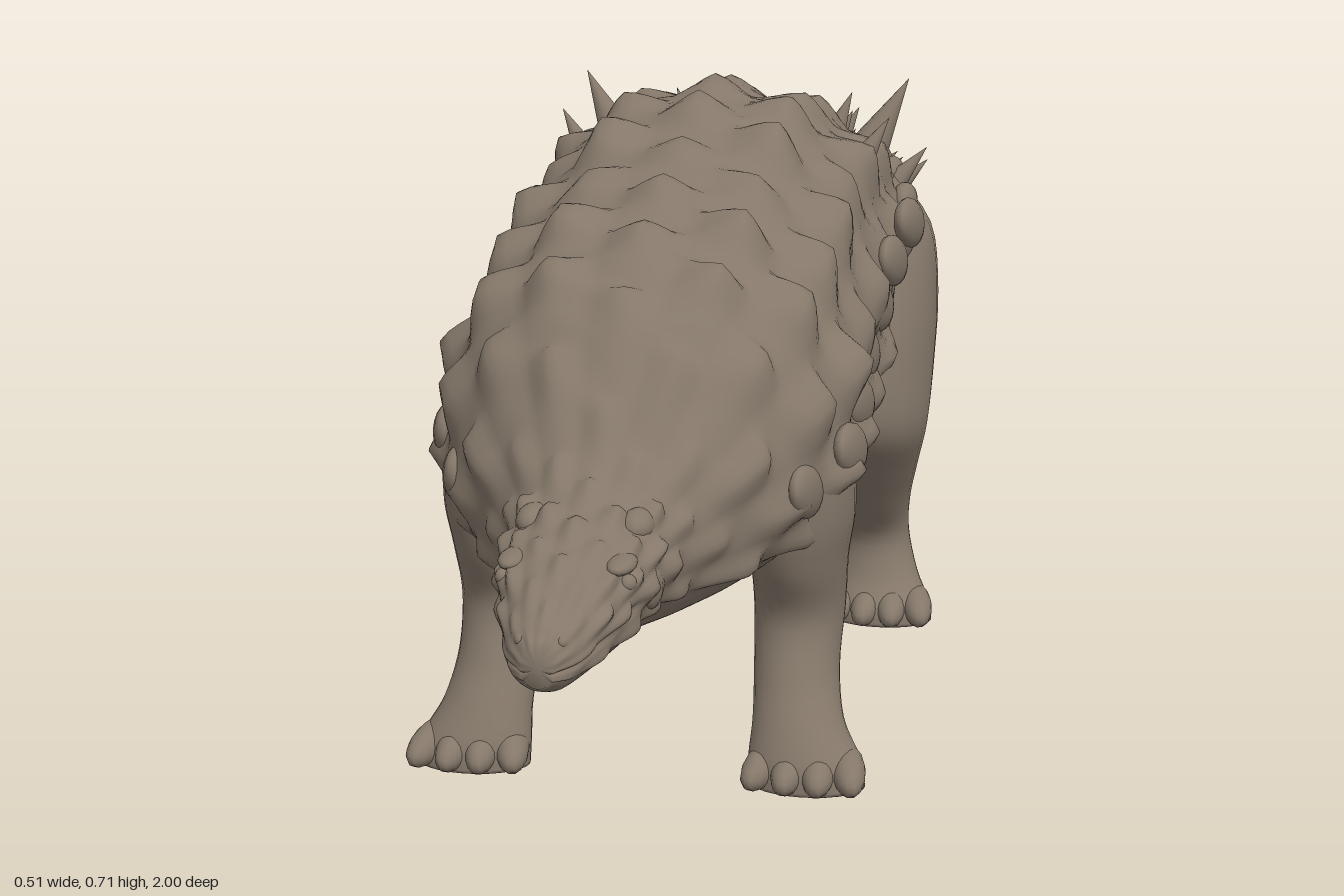
import * as THREE from 'three';

const { clamp, smoothstep, mapLinear } = THREE.MathUtils;
const hide = new THREE.MeshStandardMaterial({ color: 0x85786a });
hide.name = 'brown hide';

// Body stations: z, top, bottom, half width, height of widest point, squareness
const STATIONS = [
  [1.0, .29, .25, .016, .268, 2], [.98, .308, .24, .034, .275, 2.2],
  [.93, .333, .237, .052, .29, 2.2], [.87, .355, .235, .07, .31, 2.2],
  [.8, .375, .23, .08, .32, 2.1], [.75, .405, .222, .094, .32, 2.1],
  [.7, .46, .216, .13, .33, 2.1], [.64, .527, .213, .172, .345, 2.1],
  [.56, .573, .212, .205, .36, 2.15], [.46, .605, .22, .215, .375, 2.2],
  [.34, .642, .233, .214, .4, 2.2], [.2, .68, .255, .212, .425, 2.2],
  [.08, .675, .275, .216, .445, 2.2], [-.02, .652, .3, .218, .455, 2.2],
  [-.11, .625, .345, .2, .475, 2.2], [-.2, .598, .385, .147, .48, 2.2],
  [-.32, .572, .413, .11, .485, 2.1], [-.48, .543, .423, .082, .48, 2],
  [-.64, .52, .415, .06, .465, 2], [-.78, .474, .404, .041, .437, 2],
  [-.9, .445, .397, .029, .42, 2], [-1, .447, .42, .01, .434, 2],
];

// Smooth (Hermite) interpolation of rows by position t along the list
function sample(rows, t) {
  const last = rows.length - 1;
  const i = Math.min(Math.floor(t), last - 1), f = t - i;
  const at = k => rows[clamp(k, 0, last)];
  return rows[0].map((_, c) => {
    const p = at(i)[c], q = at(i + 1)[c];
    const m = (q - at(i - 1)[c]) / 2, n = (at(i + 2)[c] - p) / 2;
    const f2 = f * f, f3 = f2 * f;
    return (2 * f3 - 3 * f2 + 1) * p + (f3 - 2 * f2 + f) * m + (3 * f2 - 2 * f3) * q + (f3 - f2) * n;
  });
}

function stationAt(z) {
  let i = 0;
  while (i < STATIONS.length - 2 && STATIONS[i + 1][0] > z) i++;
  const a = STATIONS[i], b = STATIONS[i + 1];
  return sample(STATIONS, i + clamp((a[0] - z) / (a[0] - b[0]), 0, 1));
}

const hash = (a, b) => { const s = Math.sin(a * 12.99 + b * 78.23) * 43758.5; return s - Math.floor(s); };

// Height of the overlapping keeled scutes at angle a from the spine
function armour(z, a, w) {
  const limit = clamp(mapLinear(z, .5, -.1, 2.1, 1.1), 1.1, 2.1);
  const cover = 1 - smoothstep(Math.abs(a), limit - .05, limit + .08);
  const phase = z > .72 ? 7.2 + (z - .72) / .06 : z > -.2 ? z / .1 : -2 + (z + .2) / .075;
  const row = Math.abs(a) / .42, r = Math.round(row), u = (row - r) * 2;
  const shifted = -phase + (r % 2) * .5, cell = Math.floor(shifted), v = shifted - cell;
  const rise = smoothstep(v, 0, .7) * (1 - smoothstep(v, .78, 1));
  const keel = .5 * (1 - u * u) + .5 * Math.max(0, 1 - Math.abs(u) * 1.5);
  const size = clamp(w * .12, .002, .026) * (.55 + .7 * hash(r + 1, cell));
  const ripple = w * .012 * Math.sin(z * 95 + Math.abs(a) * 3) * Math.sin(Math.abs(a) * 9 + z * 40);
  const mouth = .005 * smoothstep(z, .84, .88) * Math.exp(-(((Math.abs(a) - 1.75) / .07) ** 2));
  const folds = z < -.15 ? .001 * Math.sin(z * 150) : 0;
  return cover * (size * keel * rise + ripple + w * .025) + (1 - cover) * folds - mouth;
}

function surface(z, a) {
  const [, top, bottom, w, mid, n] = stationAt(z);
  const s = Math.sin(a), c = Math.cos(a);
  const r = (Math.abs(s) ** n + Math.abs(c) ** n) ** (-1 / n);
  const signed = a > Math.PI ? a - 2 * Math.PI : a;
  const d = armour(z, signed, w);
  return new THREE.Vector3((w * r + d) * s, mid + ((c > 0 ? top - mid : mid - bottom) * r + d) * c, z);
}

// Skin a list of closed rings and close both ends
function loft(rings) {
  const n = rings[0].length, pos = [], index = [];
  rings.forEach(ring => ring.forEach(p => pos.push(p.x, p.y, p.z)));
  for (let i = 0; i < rings.length - 1; i++) for (let j = 0; j < n; j++) {
    const a = i * n + j, b = i * n + (j + 1) % n;
    index.push(a, b, a + n, b, b + n, a + n);
  }
  [0, rings.length - 1].forEach(k => {
    const centre = new THREE.Vector3();
    rings[k].forEach(p => centre.addScaledVector(p, 1 / n));
    const id = pos.length / 3;
    pos.push(centre.x, centre.y, centre.z);
    for (let j = 0; j < n; j++) {
      const a = k * n + j, b = k * n + (j + 1) % n;
      if (k === 0) index.push(id, b, a); else index.push(id, a, b);
    }
  });
  const g = new THREE.BufferGeometry();
  g.setAttribute('position', new THREE.Float32BufferAttribute(pos, 3));
  g.setIndex(index);
  g.computeVertexNormals();
  return g;
}

function add(parent, name, geometry) {
  const mesh = new THREE.Mesh(geometry, hide);
  mesh.name = name;
  parent.add(mesh);
  return mesh;
}

function blob(parent, name, x, y, z, rx, ry, rz) {
  const m = add(parent, name, new THREE.SphereGeometry(1, 14, 10));
  m.position.set(x, y, z);
  m.scale.set(rx, ry, rz);
  return m;
}

// Leg rings: x, y, z, half width, half depth
const FRONT_LEG = [[.14, .44, .51, .04, .06], [.16, .37, .51, .06, .092], [.168, .3, .505, .06, .092],
  [.167, .24, .5, .053, .08], [.166, .18, .49, .05, .062], [.167, .12, .515, .047, .053],
  [.174, .07, .548, .05, .043], [.184, .03, .565, .062, .043], [.187, .002, .568, .064, .043]];
const HIND_LEG = [[.125, .57, -.02, .07, .08], [.15, .51, -.01, .092, .125], [.161, .43, .012, .094, .138],
  [.166, .35, .04, .089, .125], [.17, .28, .06, .081, .098], [.17, .22, .025, .066, .08],
  [.168, .16, -.02, .053, .07], [.17, .11, -.042, .047, .046], [.178, .06, -.03, .052, .038],
  [.186, .025, -.012, .062, .042], [.187, .002, -.01, .064, .043]];

function leg(parent, name, rows, side) {
  const group = new THREE.Group();
  group.name = name;
  const rings = [];
  for (let i = 0; i <= 40; i++) {
    const [x, y, z, rx, rz] = sample(rows, i / 40 * (rows.length - 1));
    rings.push(Array.from({ length: 28 }, (_, j) => {
      const a = j / 28 * Math.PI * 2;
      return new THREE.Vector3(side * x - Math.sin(a) * rx, y, z + Math.cos(a) * rz);
    }));
  }
  add(group, 'limb', loft(rings));
  const [fx, , fz] = rows[rows.length - 1];
  for (let k = 0; k < 4; k++) {
    const spread = k - 1.5, z = fz + .02 - Math.abs(spread) * .007;
    const toe = blob(group, 'toe', side * (fx + spread * .031), .024, z, .019, .02, .046);
    toe.rotation.set(.22, side * spread * .15, 0);
  }
  parent.add(group);
}

// Spikes: z, angle from the spine, length
const SPIKES = [[.08, .85, .05], [-.06, .78, .08], [-.19, .62, .06], [-.03, 1.05, .055], [-.1, 1.15, .05],
  [-.17, 1.15, .045], [-.24, 1.2, .055], [-.25, .7, .042], [-.32, .75, .05], [-.35, 1.25, .042],
  [-.38, .72, .035], [-.45, .72, .04], [-.46, 1.25, .03], [-.515, .7, .033], [-.56, 1.2, .026],
  [-.58, .7, .03], [-.65, .8, .022], [-.66, 1.3, .018]];

function spike(parent, [z, a, length], side) {
  const g = new THREE.ConeGeometry(length * .3, length * 1.2, 12, 6);
  g.translate(0, length * .5, 0);
  const m = add(parent, 'spike', g);
  const p = surface(z, a);
  m.position.set(p.x * side * .98, p.y, z);
  const dir = new THREE.Vector3(side * Math.sin(a) * .7, Math.cos(a) + .2, -.22).normalize();
  m.quaternion.setFromUnitVectors(new THREE.Vector3(0, 1, 0), dir);
}

export function createModel() {
  const model = new THREE.Group();
  model.name = 'armouredDinosaur';

  // Head, trunk and tail as one armoured skin
  const rings = [], count = 270, sides = 120;
  for (let i = 0; i <= count; i++) {
    const z = 1 - 2 * i / count;
    rings.push(Array.from({ length: sides }, (_, j) => surface(z, j / sides * Math.PI * 2)));
  }
  add(model, 'body', loft(rings));

  for (const side of [-1, 1]) {
    const s = side < 0 ? 'right' : 'left';
    leg(model, s + 'FrontLeg', FRONT_LEG, side);
    leg(model, s + 'HindLeg', HIND_LEG, side);
    SPIKES.forEach(row => spike(model, row, side));

    // Face details
    blob(model, s + 'Eye', side * .062, .322, .885, .009, .009, .011);
    blob(model, s + 'Brow', side * .054, .338, .875, .015, .009, .03);
    blob(model, s + 'CheekBoss', side * .071, .3, .82, .012, .024, .03);
    blob(model, s + 'CrownBoss', side * .053, .355, .8, .018, .017, .028);
    blob(model, s + 'Nostril', side * .02, .292, .977, .008, .008, .012);

    // Heavy scutes along the edge of the armour
    for (let k = 0; k < 7; k++) {
      const z = .6 - k * .085, p = surface(z, 1.65 - k * .07);
      const m = blob(model, 'flankScute', side * (p.x - .004), p.y, z, .015, .03, .05);
      m.rotation.set(-.3, side * -.12, 0);
    }
    // Hip bosses above the thighs
    for (let k = 0; k < 3; k++) {
      const p = surface(.05 - k * .05, 1.3 - k * .15);
      blob(model, 'hipBoss', side * (p.x - .003), p.y, p.z, .016, .022, .034);
    }
  }
  return model;
}
